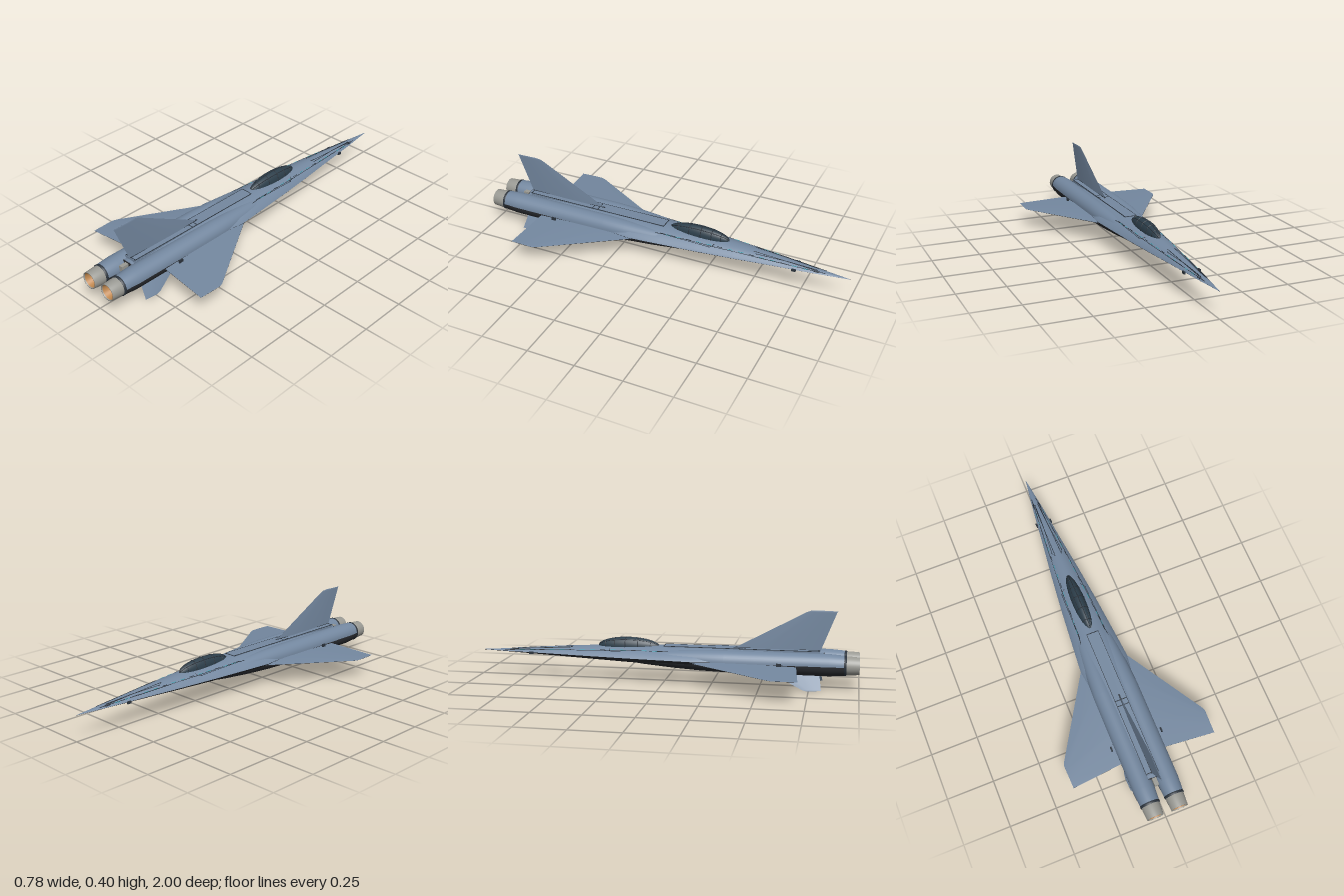
import * as THREE from 'three';

const paint = (color) => new THREE.MeshStandardMaterial({ color, side: THREE.DoubleSide });
const blue = paint(0x7488a0), dark = paint(0x2a2c30), line = paint(0x2b333c);
const glass = paint(0x2c3e4a), metal = paint(0x9a9a94), cyan = paint(0x3fb0c0);
const flame = paint(0xc08850), glow = paint(0xf0a868);
const V = (x, y, z) => new THREE.Vector3(x, y, z);

export function createModel() {
  const model = new THREE.Group();

  function add(name, geometry, material, x = 0, y = 0, z = 0) {
    const mesh = new THREE.Mesh(geometry, material);
    mesh.name = name;
    mesh.position.set(x, y, z);
    model.add(mesh);
    return mesh;
  }

  // Skin through rows of points; all rows have the same count
  function loft(rows) {
    const n = rows[0].length, index = [];
    for (let i = 0; i < rows.length - 1; i++) {
      for (let j = 0; j < n - 1; j++) {
        const a = i * n + j, b = a + n;
        index.push(a, b, a + 1, b, b + 1, a + 1);
      }
    }
    const g = new THREE.BufferGeometry().setFromPoints(rows.flat());
    g.setIndex(index);
    g.computeVertexNormals();
    return g;
  }

  // Fuselage stations: z, half width at the chine, top, bottom
  const stations = [
    [-0.995, 0.001, 0.131, 0.129], [-0.8, 0.028, 0.144, 0.122], [-0.6, 0.051, 0.161, 0.113],
    [-0.4, 0.076, 0.174, 0.104], [-0.2, 0.098, 0.183, 0.095], [0, 0.116, 0.187, 0.087],
    [0.16, 0.13, 0.188, 0.081], [0.3, 0.112, 0.188, 0.078], [0.6, 0.1, 0.185, 0.075], [0.82, 0.07, 0.178, 0.075],
  ];
  const chineY = 0.13;
  const bulge = (u) => Math.pow(Math.max(0, 1 - u * u), 0.85);
  function halfHull(edge) {
    return loft(stations.map((s) => {
      const row = [];
      for (let j = 0; j <= 24; j++) {
        const u = -Math.cos((j / 24) * Math.PI);
        row.push(V(s[1] * u, chineY + (s[edge] - chineY) * bulge(u), s[0]));
      }
      return row;
    }));
  }
  add('upperFuselage', halfHull(2), blue);
  add('lowerFuselage', halfHull(3), dark);

  // Height of the upper fuselage at x, z
  function topY(x, z) {
    let i = 0;
    while (i < stations.length - 2 && stations[i + 1][0] < z) i++;
    const a = stations[i], b = stations[i + 1], t = (z - a[0]) / (b[0] - a[0]);
    const w = a[1] + (b[1] - a[1]) * t, h = a[2] + (b[2] - a[2]) * t;
    return chineY + (h - chineY) * bulge(x / w);
  }

  // Closing plate between the engines and the small tail boom
  const bulkhead = add('rearBulkhead', new THREE.CylinderGeometry(0.0505, 0.0505, 0.004, 32), dark, 0, 0.127, 0.819);
  bulkhead.rotation.x = Math.PI / 2;
  bulkhead.scale.x = 1.35;
  add('tailBoom', new THREE.BoxGeometry(0.022, 0.03, 0.08), metal, 0, 0.155, 0.82);

  // Thin tube following the upper skin through x, z pairs
  function seam(name, points, material = line, radius = 0.0016) {
    const path = new THREE.CurvePath();
    const pts = points.map(([x, z]) => V(x, topY(x, z) + 0.0005, z));
    for (let i = 1; i < pts.length; i++) path.add(new THREE.LineCurve3(pts[i - 1], pts[i]));
    add(name, new THREE.TubeGeometry(path, 24, radius, 5), material);
  }

  // Raised dorsal spine with outlined panels
  add('dorsalSpine', new THREE.BoxGeometry(0.064, 0.014, 0.8), blue, 0, 0.182, 0.4);
  for (const z of [0, 0.39, 0.42, 0.795]) {
    add('spinePanelLine', new THREE.BoxGeometry(0.066, 0.002, 0.004), line, 0, 0.189, z);
  }
  add('spineSlot', new THREE.BoxGeometry(0.008, 0.004, 0.44), line, 0, 0.189, 0.58);

  // Lifting surface from sections of leading edge, trailing edge and half thickness
  function surface(name, sections, normal, topMaterial, bottomMaterial) {
    for (const side of [1, -1]) {
      const rows = sections.map(([le, te, t]) => [0, 0.3, 0.7, 1].map((f, k) =>
        le.clone().lerp(te, f).addScaledVector(normal, side * t * [0.15, 1, 0.8, 0.15][k])));
      add(name, loft(rows), side > 0 ? topMaterial : bottomMaterial);
    }
  }

  // Vertical tail
  surface('verticalTail', [
    [V(0, 0.18, 0.35), V(0, 0.18, 0.8), 0.006],
    [V(0, 0.385, 0.73), V(0, 0.385, 0.88), 0.0025],
    [V(0, 0.392, 0.75), V(0, 0.392, 0.885), 0.002],
    [V(0, 0.395, 0.78), V(0, 0.392, 0.885), 0],
  ], V(1, 0, 0), blue, blue);

  // Canopy glass with frames
  const cz = -0.19, cy = 0.174, cr = [0.036, 0.05, 0.165];
  const dome = new THREE.SphereGeometry(1, 32, 12, 0, Math.PI * 2, 0, Math.PI / 2);
  add('canopy', dome, glass, 0, cy, cz).scale.set(...cr);
  for (const f of [-0.75, -0.45, -0.1, 0.3, 0.7]) {
    const k = Math.sqrt(1 - f * f);
    const hoop = add('canopyFrame', new THREE.TorusGeometry(1, 0.05, 6, 24, Math.PI), line, 0, cy, cz + f * cr[2]);
    hoop.scale.set(cr[0] * k, cr[1] * k, 0.05);
  }
  for (const u of [-0.6, 0, 0.6]) {
    const pts = [];
    for (let i = 0; i <= 16; i++) {
      const a = (i / 16) * Math.PI, s = Math.sin(a);
      pts.push(V(cr[0] * u * s, cy + cr[1] * Math.sqrt(1 - u * u) * s, cz - cr[2] * Math.cos(a)));
    }
    add('canopyRail', new THREE.TubeGeometry(new THREE.CatmullRomCurve3(pts), 32, 0.002, 5), line);
  }

  for (const s of [1, -1]) {
    // Engine nacelle: z, centre x, radius
    const nacelle = [[-0.25, 0.05, 0.015], [-0.1, 0.053, 0.033], [0.05, 0.058, 0.045], [0.2, 0.063, 0.053],
      [0.32, 0.065, 0.056], [0.85, 0.065, 0.056], [0.93, 0.065, 0.05]];
    for (const half of [1, -1]) {
      const rows = nacelle.map(([z, x, r]) => {
        const row = [];
        for (let j = 0; j <= 18; j++) {
          const a = (j / 18) * Math.PI;
          row.push(V(s * x + r * Math.cos(a), 0.129 + half * r * Math.sin(a), z));
        }
        return row;
      });
      add(half > 0 ? 'upperNacelle' : 'lowerNacelle', loft(rows), half > 0 ? blue : dark);
    }

    // Exhaust collar, nozzle, hot throat and glow
    const lathe = (name, pts, material) => {
      const g = new THREE.LatheGeometry(pts.map(([r, z]) => new THREE.Vector2(r, z)), 40);
      add(name, g, material, s * 0.065, 0.129, 0).rotation.x = Math.PI / 2;
    };
    lathe('exhaustCollar', [[0.05, 0.922], [0.0515, 0.925], [0.0515, 0.934], [0.045, 0.936]], line);
    lathe('nozzle', [[0.047, 0.93], [0.0475, 0.95], [0.044, 1], [0.04, 1], [0.038, 0.99]], metal);
    lathe('nozzleThroat', [[0.039, 0.995], [0.025, 0.93]], flame);
    add('exhaustGlow', new THREE.CircleGeometry(0.026, 32), glow, s * 0.065, 0.129, 0.931);

    // Wing with clipped tip
    surface('wing', [
      [V(s * 0.09, 0.122, 0.095), V(s * 0.09, 0.122, 0.685), 0.01],
      [V(s * 0.13, 0.122, 0.16), V(s * 0.13, 0.122, 0.688), 0.008],
      [V(s * 0.382, 0.11, 0.565), V(s * 0.382, 0.11, 0.709), 0.0025],
      [V(s * 0.39, 0.11, 0.585), V(s * 0.387, 0.11, 0.71), 0.0015],
      [V(s * 0.39, 0.11, 0.6), V(s * 0.387, 0.11, 0.71), 0],
    ], V(0, 1, 0), blue, dark);

    // Canted ventral fin
    surface('ventralFin', [
      [V(s * 0.06, 0.09, 0.53), V(s * 0.06, 0.09, 0.8), 0.004],
      [V(s * 0.113, 0.005, 0.72), V(s * 0.113, 0.007, 0.813), 0.002],
      [V(s * 0.116, 0, 0.745), V(s * 0.114, 0.006, 0.815), 0],
    ], V(s * 0.85, 0.53, 0).normalize(), blue, blue);

    // Small fittings at the nose and wing root
    add('noseSensor', new THREE.BoxGeometry(0.008, 0.012, 0.022), line, s * 0.04, 0.128, -0.715);
    add('wingRootFitting', new THREE.BoxGeometry(0.007, 0.02, 0.024), line, s * 0.137, 0.131, 0.6);

    // Panel seams on the forebody and shoulders
    seam('nosePanelSeam', [[s * 0.008, -0.83], [s * 0.014, -0.68], [s * 0.03, -0.5], [s * 0.018, -0.49], [s * 0.012, -0.84]]);
    seam('forebodySeam', [[s * 0.012, -0.87], [s * 0.036, -0.6], [s * 0.06, -0.28], [s * 0.07, 0.0]]);
    seam('shoulderSeam', [[s * 0.045, -0.29], [s * 0.066, -0.28], [s * 0.072, 0], [s * 0.09, 0.12]]);
    add('spineEdge', new THREE.BoxGeometry(0.002, 0.003, 0.8), line, s * 0.032, 0.1885, 0.4);

    // Row of marker lights along the chine
    for (let i = 0; i < 16; i++) {
      const z = -0.84 + i * 0.056, x = (q) => s * (0.018 + (q + 0.84) * 0.066);
      seam('chineLight', [[x(z), z], [x(z + 0.028), z + 0.028]], i % 3 ? cyan : line, 0.0016);
    }
  }
  return model;
}
